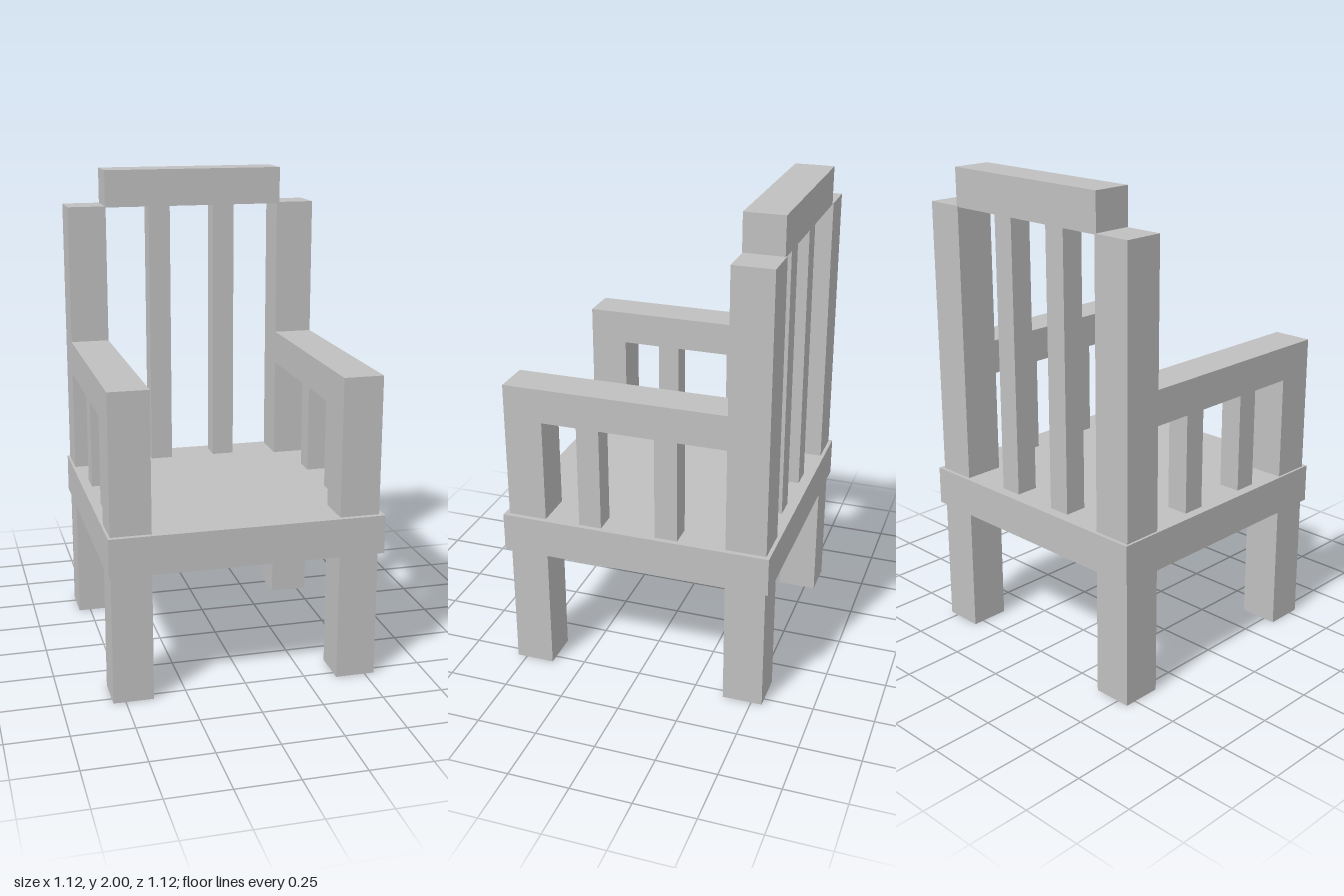
import * as THREE from 'three';

export function createModel() {
  const chair = new THREE.Group();
  chair.name = 'armchair';
  const grey = new THREE.MeshStandardMaterial({ color: 0xc0c0c0 });
  grey.name = 'plain grey';

  // Square-edged beam given by its extents along x, y and z
  function beam(name, [x0, x1], [y0, y1], [z0, z1]) {
    const mesh = new THREE.Mesh(new THREE.BoxGeometry(x1 - x0, y1 - y0, z1 - z0), grey);
    mesh.name = name;
    mesh.position.set((x0 + x1) / 2, (y0 + y1) / 2, (z0 + z1) / 2);
    chair.add(mesh);
  }

  const seatY = [0.535, 0.695];
  const frontZ = [0.38, 0.54];
  const backZ = [-0.545, -0.38];
  const postTop = 1.848, armY = [1.123, 1.265];

  beam('seat', [-0.56, 0.56], seatY, [-0.56, 0.56]);

  // Each side: legs, posts, arm rest and the slats below it
  const sides = [
    { name: 'right', x: [-0.55, -0.387], slatX: [-0.52, -0.427] },
    { name: 'left', x: [0.377, 0.54], slatX: [0.445, 0.539] },
  ];
  for (const { name, x, slatX } of sides) {
    beam(`${name} front leg`, x, [0, seatY[0]], frontZ);
    beam(`${name} back leg`, x, [0, seatY[0]], backZ);
    beam(`${name} back post`, x, [seatY[1], postTop], backZ);
    beam(`${name} arm post`, x, [seatY[1], armY[0]], frontZ);
    beam(`${name} arm rest`, x, armY, [backZ[1], frontZ[1]]);
    for (const z of [0.187, -0.135]) {
      beam(`${name} arm slat`, slatX, [seatY[1], armY[0]], [z - 0.047, z + 0.047]);
    }
  }

  // Back rest: two upright slats under a top rail
  for (const x of [-0.145, 0.143]) {
    beam('back slat', [x - 0.047, x + 0.047], [seatY[1], 1.843], [-0.515, -0.421]);
  }
  beam('top rail', [-0.39, 0.388], [1.843, 2], [-0.54, -0.378]);

  return chair;
}
